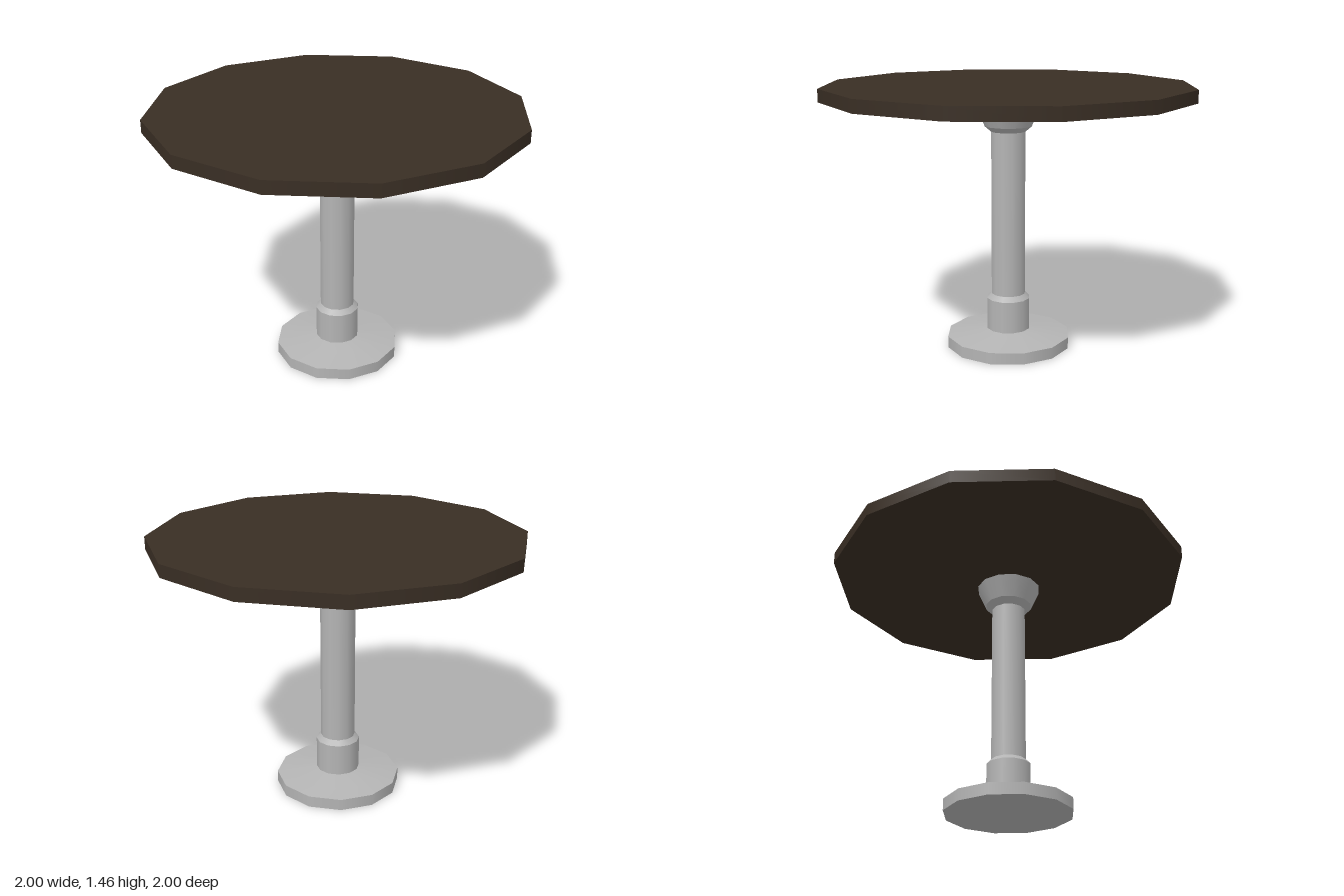
import * as THREE from 'three';
import { mergeGeometries } from 'three/addons/utils/BufferGeometryUtils.js';

const SIDES = 12;

// Turned shape: smooth around the axis, sharp between profile bands
function turned(profile) {
  const bands = [];
  for (let i = 0; i < profile.length - 1; i++) {
    const pair = [profile[i], profile[i + 1]].map(([r, y]) => new THREE.Vector2(r, y));
    bands.push(new THREE.LatheGeometry(pair, SIDES));
  }
  return mergeGeometries(bands);
}

export function createModel() {
  const metal = new THREE.MeshStandardMaterial({ color: 0xb4b4b4, side: THREE.DoubleSide });
  metal.name = 'grey metal';
  const wood = new THREE.MeshStandardMaterial({ color: 0x392e24 });
  wood.name = 'dark wood';

  const table = new THREE.Group();
  table.name = 'pedestalTable';
  const add = (name, material, profile) => {
    const mesh = new THREE.Mesh(turned(profile), material);
    mesh.name = name;
    table.add(mesh);
  };

  // Floor flange with an open socket underneath
  add('base', metal, [[0.12, 0], [0.345, 0], [0.345, 0.063], [0.12, 0.095]]);
  // Sleeve with a chamfered top
  add('collar', metal, [[0.12, 0.095], [0.12, 0.272], [0.095, 0.298]]);
  add('pole', metal, [[0.095, 0.298], [0.095, 1.205]]);
  // Flared support below the top
  add('bracket', metal, [[0.095, 1.205], [0.13, 1.235], [0.18, 1.35]]);
  // Faceted round top, thinner towards the rim
  add('tabletop', wood, [[0, 1.348], [0.18, 1.348], [1, 1.386], [1, 1.455], [0, 1.455]]);

  return table;
}
